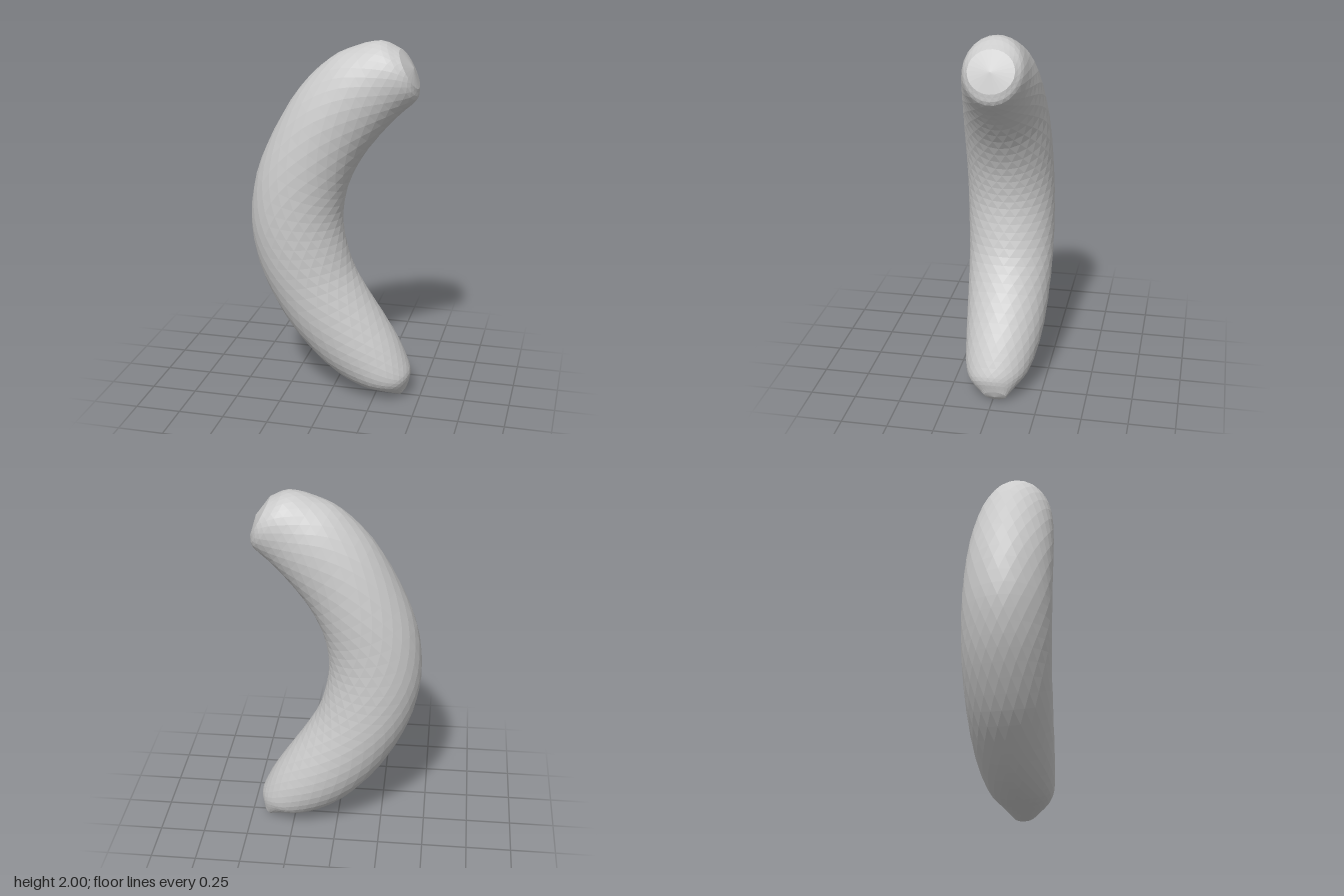
import * as THREE from 'three';

// Cross-sections, top to bottom: outer x,y | inner x,y | half depth | z offset
const SECTIONS = [
  [0.35, 1.96, 0.455, 1.76, 0.12, 0],
  [0.25, 2.0, 0.445, 1.70, 0.155, 0],
  [0.12, 1.97, 0.36, 1.62, 0.18, 0.003],
  [-0.02, 1.90, 0.26, 1.51, 0.203, 0.005],
  [-0.18, 1.74, 0.16, 1.375, 0.222, 0.008],
  [-0.32, 1.51, 0.09, 1.235, 0.235, 0.008],
  [-0.42, 1.27, 0.058, 1.11, 0.239, 0.007],
  [-0.456, 1.03, 0.05, 0.99, 0.241, 0.003],
  [-0.435, 0.82, 0.07, 0.86, 0.24, -0.003],
  [-0.37, 0.62, 0.11, 0.73, 0.236, -0.01],
  [-0.25, 0.40, 0.18, 0.605, 0.229, -0.014],
  [-0.10, 0.22, 0.27, 0.47, 0.217, -0.016],
  [0.03, 0.115, 0.36, 0.33, 0.198, -0.012],
  [0.16, 0.055, 0.42, 0.21, 0.17, -0.004],
  [0.28, 0.03, 0.442, 0.14, 0.125, 0],
  [0.385, 0.0, 0.43, 0.07, 0.06, -0.015],
];
const AROUND = 24, STEPS = 3;
const TOP_POLE = [0.425, 1.865, 0], BOTTOM_POLE = [0.415, 0.03, -0.015];

function curvedBody() {
  const curve = (pick) =>
    new THREE.CatmullRomCurve3(SECTIONS.map((s) => new THREE.Vector3(...pick(s))), false, 'catmullrom', 0.5);
  const outer = curve((s) => [s[0], s[1], s[5]]);
  const inner = curve((s) => [s[2], s[3], s[5]]);
  const depth = curve((s) => [s[4], 0, 0]);

  // Elliptical rings spanning the outer and inner edges
  const rings = (SECTIONS.length - 1) * STEPS;
  const pos = [], index = [];
  for (let k = 0; k <= rings; k++) {
    const o = outer.getPoint(k / rings), i = inner.getPoint(k / rings);
    const hz = depth.getPoint(k / rings).x;
    for (let j = 0; j < AROUND; j++) {
      const a = ((j + (k % 2) * 0.5) / AROUND) * Math.PI * 2;
      const p = i.clone().lerp(o, 0.5 + 0.5 * Math.cos(a));
      pos.push(p.x, Math.max(0, p.y), p.z + hz * Math.sin(a));
    }
  }

  // Staggered triangles between neighbouring rings
  for (let k = 0; k < rings; k++) {
    for (let j = 0; j < AROUND; j++) {
      const n = (j + 1) % AROUND;
      const a = k * AROUND + j, b = k * AROUND + n;
      const c = a + AROUND, d = b + AROUND;
      if (k % 2) index.push(a, d, b, a, c, d);
      else index.push(a, c, b, b, c, d);
    }
  }

  // Blunt caps at both ends
  const top = pos.length / 3, bottom = top + 1, last = rings * AROUND;
  pos.push(...TOP_POLE, ...BOTTOM_POLE);
  for (let j = 0; j < AROUND; j++) {
    const n = (j + 1) % AROUND;
    index.push(top, j, n, bottom, last + n, last + j);
  }

  const geometry = new THREE.BufferGeometry();
  geometry.setAttribute('position', new THREE.Float32BufferAttribute(pos, 3));
  geometry.setIndex(index);
  geometry.computeVertexNormals();
  return geometry;
}

export function createModel() {
  const group = new THREE.Group();
  group.name = 'curvedSausage';
  const material = new THREE.MeshStandardMaterial({ color: 0xcccccc, flatShading: true });
  const body = new THREE.Mesh(curvedBody(), material);
  body.name = 'body';
  group.add(body);
  return group;
}
